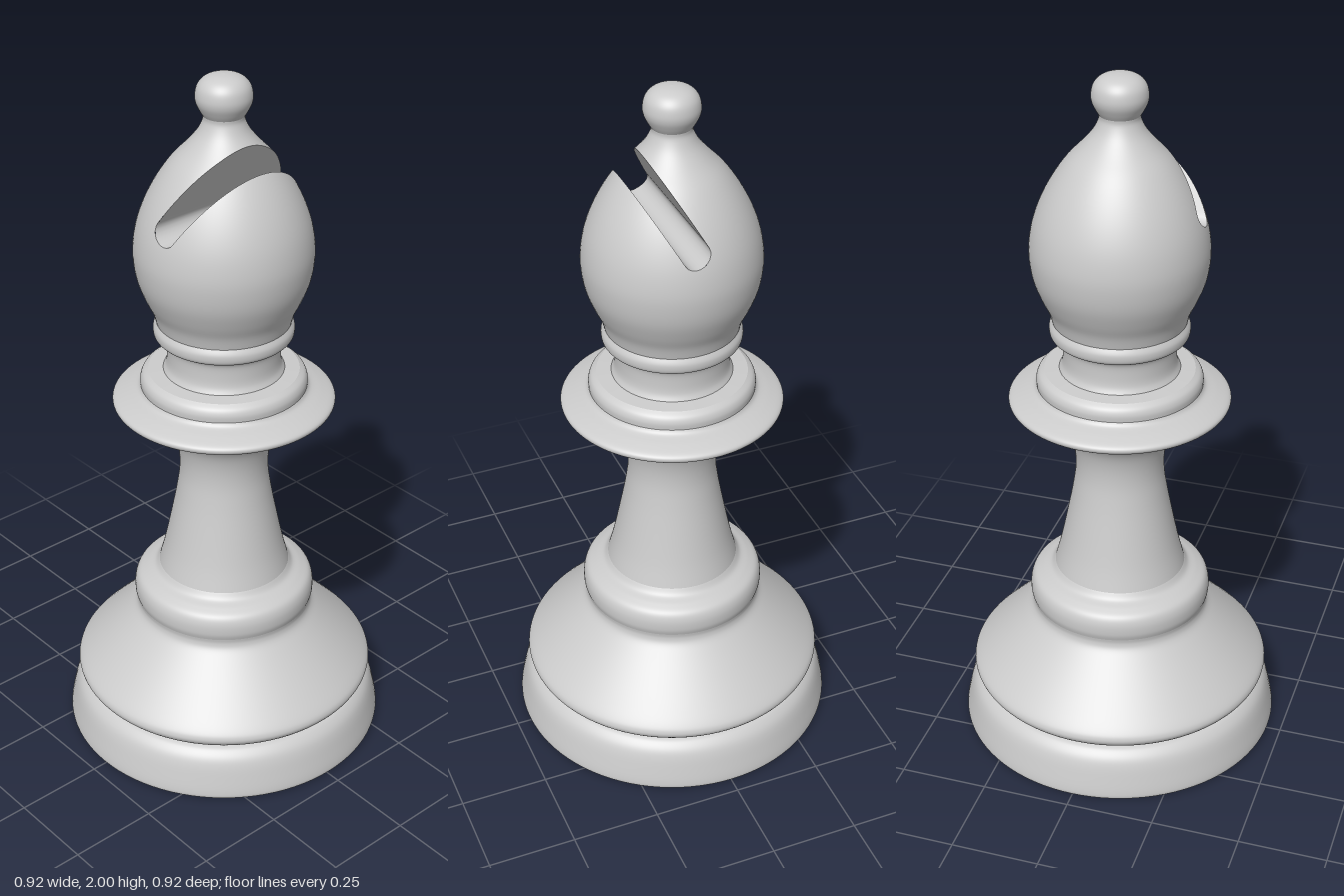
import * as THREE from 'three';

const material = new THREE.MeshStandardMaterial({ color: 0xcccccc });
const SIDES = 96;

// Smooth profile through [radius, height] points
function profile(points, steps = 6) {
  const curve = new THREE.SplineCurve(points.map(([r, y]) => new THREE.Vector2(r, y)));
  const out = curve.getPoints((points.length - 1) * steps);
  out.forEach((p) => { p.x = Math.max(0, p.x); });
  return out;
}

function turned(name, points, steps) {
  const mesh = new THREE.Mesh(new THREE.LatheGeometry(profile(points, steps), SIDES), material);
  mesh.name = name;
  return mesh;
}

// Head profile, and its radius at any height
const headProfile = profile([
  [0.184, 1.305], [0.194, 1.34], [0.213, 1.38], [0.232, 1.43], [0.241, 1.48], [0.242, 1.53], [0.232, 1.59],
  [0.211, 1.65], [0.18, 1.71], [0.142, 1.765], [0.1, 1.81], [0.071, 1.845], [0.056, 1.875], [0.055, 1.89],
], 4);

function headRadius(y) {
  for (let i = 1; i < headProfile.length; i++) {
    const a = headProfile[i - 1], b = headProfile[i];
    if (y <= b.y) return a.x + (b.x - a.x) * (y - a.y) / (b.y - a.y);
  }
  return 0;
}

// Slanted slot in the xy plane: u runs up the slot, w runs across it
const SLOT = { w: -0.764, half: 0.038, floor: 1.408, round: 0.028 };
const slotPoint = (u, w) => new THREE.Vector2(0.48 * u + 0.877 * w, 0.877 * u - 0.48 * w);

// Height along a wall at which the slot leaves the head
function wallTop(w) {
  let lo = SLOT.floor + SLOT.round, hi = lo + 0.4;
  for (let i = 0; i < 40; i++) {
    const mid = (lo + hi) / 2, p = slotPoint(mid, w);
    if (p.x < headRadius(p.y)) lo = mid; else hi = mid;
  }
  return lo;
}

// Left wall downwards, rounded floor, right wall upwards
function slotPath() {
  const path = [], start = SLOT.floor + SLOT.round, n = 24;
  const w1 = SLOT.w - SLOT.half, w2 = SLOT.w + SLOT.half;
  const top1 = wallTop(w1), top2 = wallTop(w2);
  const ease = (t) => 1 - (1 - t) ** 2; // finer steps near the rim
  for (let i = n; i > 0; i--) path.push(slotPoint(start + (top1 - start) * ease(i / n), w1));
  for (let i = 0; i <= 10; i++) {
    const a = Math.PI * i / 10;
    path.push(slotPoint(start - SLOT.round * Math.sin(a), SLOT.w - SLOT.half * Math.cos(a)));
  }
  for (let i = 1; i <= n; i++) path.push(slotPoint(start + (top2 - start) * ease(i / n), w2));
  return { path, floor: path.slice(n - 1, n + 12) };
}

// Walls and floor of the slot, as wide as the head at each point
function slotGeometry(path) {
  const pos = [], index = [];
  path.forEach((p, i) => {
    const z = Math.sqrt(Math.max(0, headRadius(p.y) ** 2 - p.x ** 2));
    pos.push(p.x, p.y, -z, p.x, p.y, z);
    const k = 2 * i;
    if (i < path.length - 1) index.push(k, k + 1, k + 3, k, k + 3, k + 2);
  });
  const g = new THREE.BufferGeometry();
  g.setAttribute('position', new THREE.Float32BufferAttribute(pos, 3));
  g.setIndex(index);
  g.computeVertexNormals();
  return g;
}

// Part of a polygon on one side of the line a-b (sign 1 = slot side)
function clip(poly, a, b, sign) {
  const dist = ({ p }) => sign * ((b.x - a.x) * (p.y - a.y) - (b.y - a.y) * (p.x - a.x));
  const out = [];
  poly.forEach((v, i) => {
    const next = poly[(i + 1) % poly.length], d = dist(v), e = dist(next);
    if (d >= 0) out.push(v);
    if ((d > 0 && e < 0) || (d < 0 && e > 0)) {
      const t = d / (d - e);
      out.push({ p: v.p.clone().lerp(next.p, t), n: v.n.clone().lerp(next.n, t).normalize() });
    }
  });
  return out;
}

// Turned head with the slot cut out of its skin
function headGeometry(lines) {
  const src = new THREE.LatheGeometry(headProfile, SIDES).toNonIndexed();
  const P = src.attributes.position, N = src.attributes.normal, pos = [], nor = [];
  const emit = (poly) => {
    for (let i = 2; i < poly.length; i++) {
      for (const v of [poly[0], poly[i - 1], poly[i]]) {
        pos.push(...v.p.toArray());
        nor.push(...v.n.toArray());
      }
    }
  };
  for (let i = 0; i < P.count; i += 3) {
    let poly = [0, 1, 2].map((k) => ({
      p: new THREE.Vector3().fromBufferAttribute(P, i + k),
      n: new THREE.Vector3().fromBufferAttribute(N, i + k),
    }));
    for (let j = 1; j < lines.length && poly.length > 2; j++) {
      emit(clip(poly, lines[j - 1], lines[j], -1));
      poly = clip(poly, lines[j - 1], lines[j], 1);
    }
  }
  const g = new THREE.BufferGeometry();
  g.setAttribute('position', new THREE.Float32BufferAttribute(pos, 3));
  g.setAttribute('normal', new THREE.Float32BufferAttribute(nor, 3));
  return g;
}

export function createModel() {
  const group = new THREE.Group();
  group.name = 'chessBishop';

  // Hollow foot
  group.add(
    turned('hollowCore', [[0, 0.62], [0.08, 0.58], [0.17, 0.4], [0.27, 0.27], [0.3, 0.15]]),
    turned('hollowStep', [[0.3, 0.15], [0.307, 0.13]], 1),
    turned('footInside', [[0.307, 0.13], [0.32, 0]], 1),
    turned('footUnderside', [[0.32, 0], [0.45, 0]], 1),
    turned('foot', [[0.45, 0], [0.46, 0.008], [0.46, 0.025], [0.453, 0.06], [0.443, 0.1], [0.432, 0.125],
      [0.415, 0.143], [0.4, 0.15]]),
    turned('footGroove', [[0.4, 0.15], [0.405, 0.158]], 1),
  );

  // Sloping base with its ring
  group.add(
    turned('base', [[0.405, 0.158], [0.418, 0.165], [0.43, 0.18], [0.431, 0.195], [0.42, 0.213], [0.385, 0.25],
      [0.335, 0.3], [0.285, 0.35], [0.26, 0.377], [0.253, 0.395], [0.254, 0.41]]),
    turned('baseRing', [[0.254, 0.41], [0.259, 0.43], [0.258, 0.46], [0.248, 0.483], [0.225, 0.497],
      [0.2, 0.508], [0.187, 0.525]]),
  );

  // Waisted stem flaring into the collar
  group.add(
    turned('stem', [[0.187, 0.525], [0.17, 0.59], [0.151, 0.68], [0.134, 0.77], [0.125, 0.84], [0.128, 0.9],
      [0.143, 0.95], [0.174, 0.99], [0.22, 1.02], [0.27, 1.04], [0.3, 1.054], [0.308, 1.066],
      [0.3, 1.077], [0.27, 1.089], [0.24, 1.099], [0.23, 1.11]]),
    turned('collar', [[0.23, 1.11], [0.23, 1.128], [0.223, 1.144], [0.208, 1.155]]),
    turned('collarTop', [[0.208, 1.155], [0.167, 1.158]], 1),
    turned('neck', [[0.167, 1.158], [0.159, 1.175], [0.156, 1.2], [0.157, 1.235], [0.166, 1.252], [0.182, 1.258],
      [0.191, 1.268], [0.192, 1.288], [0.184, 1.305]]),
  );

  // Head with the slanted slot
  const { path, floor } = slotPath();
  const head = new THREE.Group();
  head.name = 'head';
  const skin = new THREE.Mesh(headGeometry(floor), material);
  skin.name = 'headSkin';
  const slot = new THREE.Mesh(slotGeometry(path), material);
  slot.name = 'headSlot';
  head.add(skin, slot);
  group.add(head);

  // Round finial
  group.add(turned('finial', [[0.055, 1.89], [0.064, 1.905], [0.073, 1.925], [0.075, 1.945], [0.069, 1.969],
    [0.053, 1.987], [0.028, 1.997], [0, 2]]));
  return group;
}
